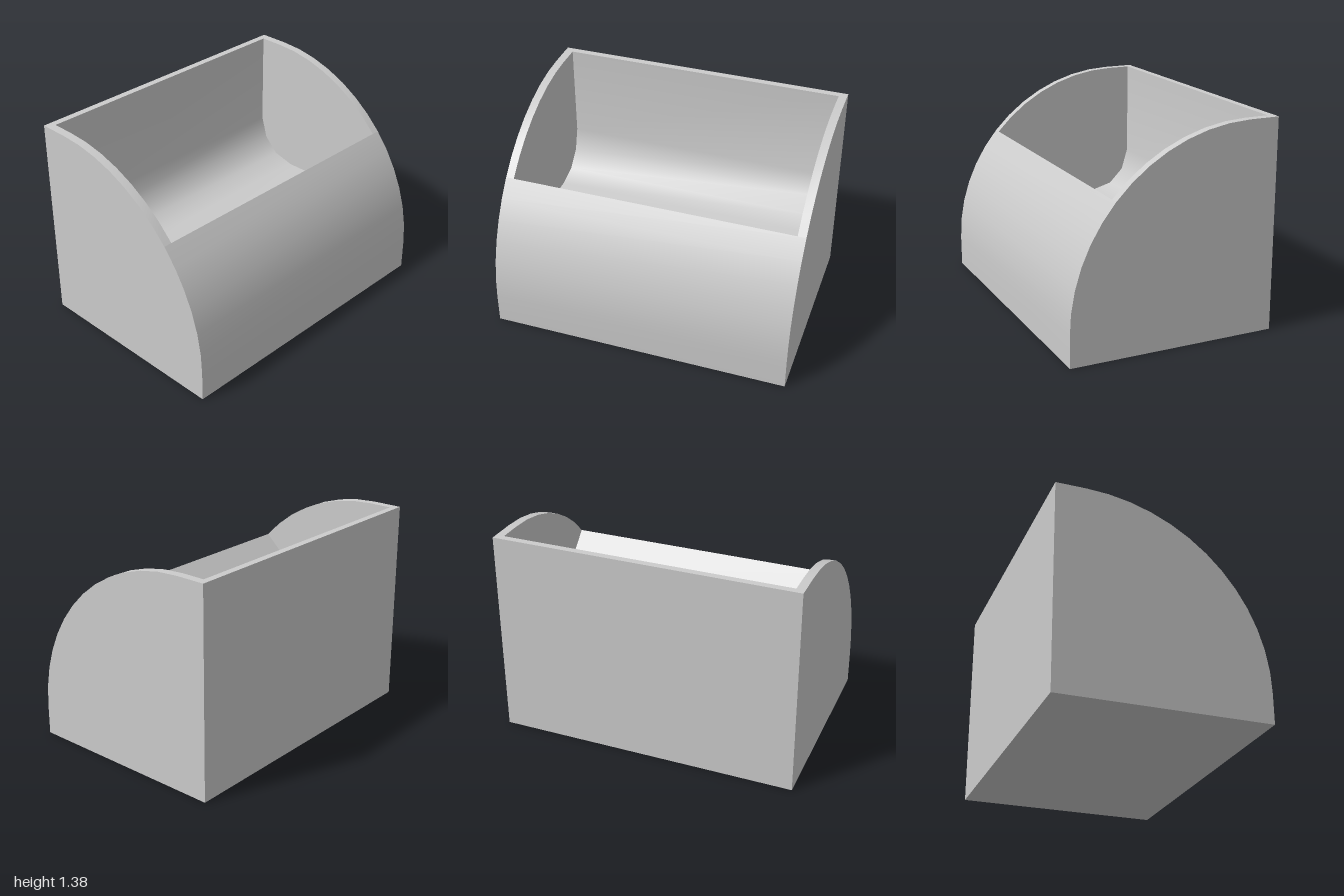
import * as THREE from 'three';
import { toCreasedNormals } from 'three/addons/utils/BufferGeometryUtils.js';

const HALF = 1, INNER = 0.945;            // outer and inner half widths
const BACK = -0.69, INNER_BACK = -0.645, TOP = 1.38;
const R = 1.18, CZ = -0.49, CY = 0.2, STEPS = 13, RIM = 6;

const material = new THREE.MeshStandardMaterial({ color: 0xcccccc });

// Sweep a [z, y] path along x
function sweep(path, x0, x1) {
  const pos = [], index = [];
  path.forEach(([z, y], i) => {
    pos.push(x0, y, z, x1, y, z);
    if (i) {
      const a = 2 * i - 2;
      index.push(a, a + 1, a + 3, a, a + 3, a + 2);
    }
  });
  const g = new THREE.BufferGeometry();
  g.setAttribute('position', new THREE.Float32BufferAttribute(pos, 3));
  g.setIndex(index);
  return toCreasedNormals(g, 0.6);
}

// Flat panel from a [z, y] outline, standing at x and facing sign * x
function panel(outline, x, sign) {
  const shape = new THREE.Shape(outline.map(([z, y]) => new THREE.Vector2(-sign * z, y)));
  return new THREE.ShapeGeometry(shape).rotateY(sign * Math.PI / 2).translate(x, 0, 0);
}

export function createModel() {
  const group = new THREE.Group();
  const add = (name, geometry) => {
    const mesh = new THREE.Mesh(geometry, material);
    mesh.name = name;
    group.add(mesh);
  };

  // Rounded front, from the vertical foot up to the flat top
  const arc = [];
  for (let k = 0; k <= STEPS; k++) {
    const a = (k / STEPS) * Math.PI / 2;
    arc.push([CZ + R * Math.cos(a), CY + R * Math.sin(a)]);
  }
  const foot = [0.69, 0];
  const front = [foot, ...arc.slice(0, RIM + 1)];
  const upper = [...arc.slice(RIM), [BACK, TOP]];

  // Hollow: sloping front lip, inner wall, floor curving up into the back wall
  const hollow = [
    arc[RIM], [0.18, 0.78], [0.18, 0.45], [-0.35, 0.45],
    [-0.5, 0.49], [-0.6, 0.59], [INNER_BACK, 0.74], [INNER_BACK, TOP],
  ];

  add('frontShell', sweep(front, -HALF, HALF));
  add('backWall', sweep([[BACK, TOP], [BACK, 0]], -HALF, HALF));
  add('base', sweep([[BACK, 0], foot], -HALF, HALF));
  add('hollow', sweep(hollow, -INNER, INNER));
  add('backRim', sweep([[INNER_BACK, TOP], [BACK, TOP]], -INNER, INNER));

  // Side walls with their curved rims
  const outline = [...front, ...upper.slice(1), [BACK, 0]];
  const cheek = [...hollow, ...arc.slice(RIM + 1).reverse()];
  for (const s of [-1, 1]) {
    const side = s > 0 ? 'left' : 'right';
    add(side + 'Wall', panel(outline, s * HALF, s));
    add(side + 'InnerWall', panel(cheek, s * INNER, -s));
    add(side + 'Rim', sweep(upper, s > 0 ? INNER : -HALF, s > 0 ? HALF : -INNER));
  }
  return group;
}
